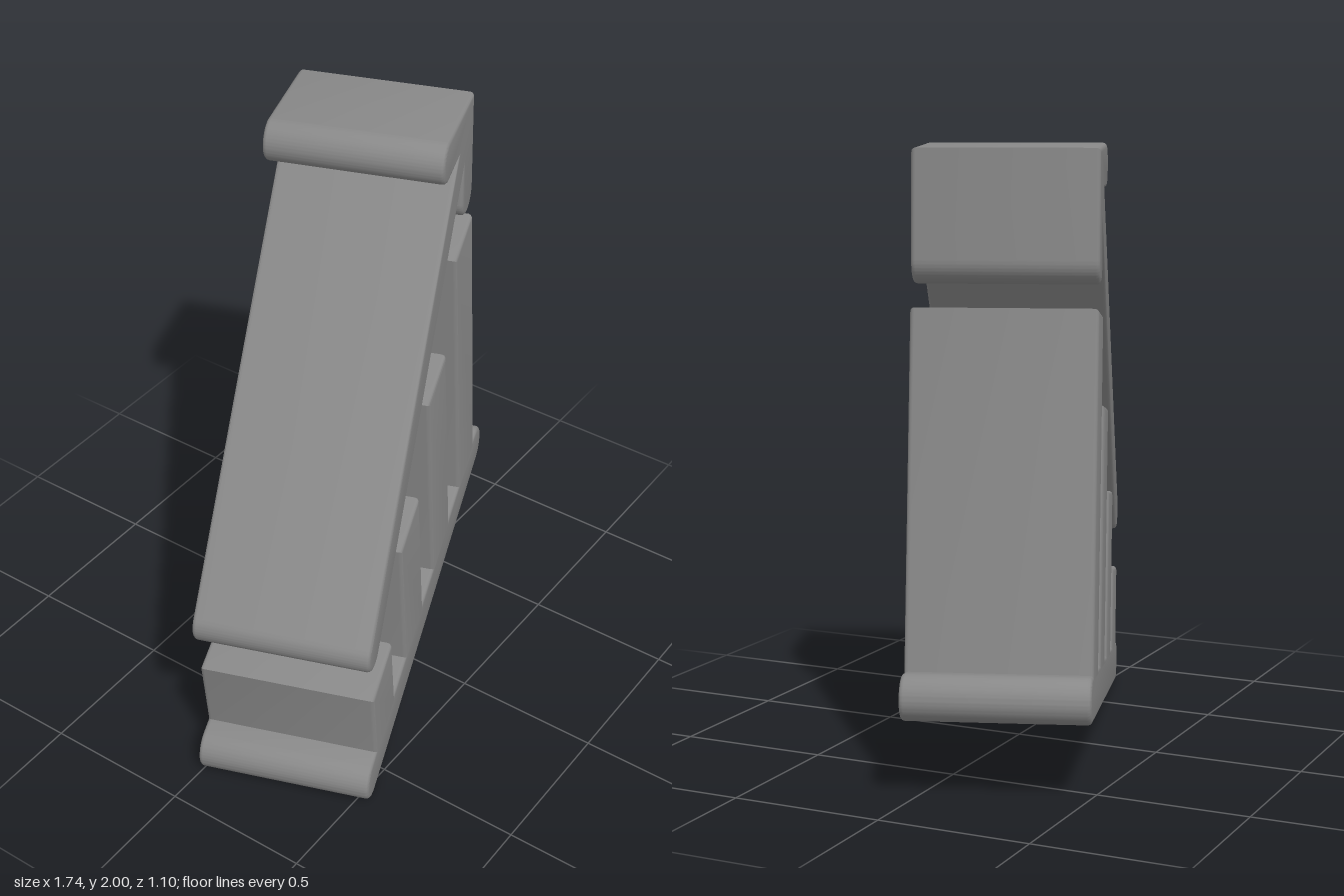
import * as THREE from 'three';
import { toCreasedNormals } from 'three/addons/utils/BufferGeometryUtils.js';

const DEPTH = 0.586;
const BEVEL = 0.014;
const rad = THREE.MathUtils.degToRad;

// Extrudes an outline to the common depth with softly rounded edges
function slab(name, shape, material) {
  const geometry = new THREE.ExtrudeGeometry(shape, {
    depth: DEPTH - 2 * BEVEL,
    bevelEnabled: true,
    bevelSize: BEVEL,
    bevelThickness: BEVEL,
    bevelOffset: -BEVEL,
    bevelSegments: 3,
    curveSegments: 20,
  });
  geometry.translate(0, 0, BEVEL - DEPTH / 2);
  const mesh = new THREE.Mesh(toCreasedNormals(geometry, 0.6), material);
  mesh.name = name;
  return mesh;
}

// Rounded baseline with four rising bars, as one outline
function chartShape() {
  const r = 0.073, length = 1.522, barWidth = 0.24;
  const s = new THREE.Shape();
  s.moveTo(0, -r);
  s.lineTo(length, -r);
  s.absarc(length, 0, r, -Math.PI / 2, Math.PI / 2, false);
  for (let i = 3; i >= 0; i--) {
    const left = 0.05 + i * 0.397, top = 0.355 + i * 0.28;
    s.lineTo(left + barWidth, r);
    s.lineTo(left + barWidth, top);
    s.lineTo(left, top);
    s.lineTo(left, r);
  }
  s.absarc(0, 0, r, Math.PI / 2, Math.PI * 1.5, false);
  return s;
}

// Rising arrow: round-ended shaft and two round-ended arms meeting in a sharp tip
function arrowShape() {
  const s = new THREE.Shape();
  s.absarc(-0.75, 0.645, 0.068, rad(138.3), rad(318.3), false);
  s.lineTo(0.342, 1.784);
  s.absarc(0.41, 1.64, 0.073, rad(184), rad(364), false);
  s.lineTo(0.462, 1.988);
  s.absarc(0.115, 1.928, 0.072, rad(88), rad(268), false);
  s.lineTo(0.26, 1.862);
  s.closePath();
  return s;
}

export function createModel() {
  const model = new THREE.Group();
  model.name = 'growthChart';
  const material = new THREE.MeshStandardMaterial({ color: 0x888888 });

  // Bars lean with their sloping baseline
  const chart = slab('barChart', chartShape(), material);
  chart.position.set(-0.75, 0.073, 0);
  chart.rotation.z = rad(9.7);

  const arrow = slab('risingArrow', arrowShape(), material);

  model.add(chart, arrow);
  model.rotation.y = rad(19.8);
  return model;
}
